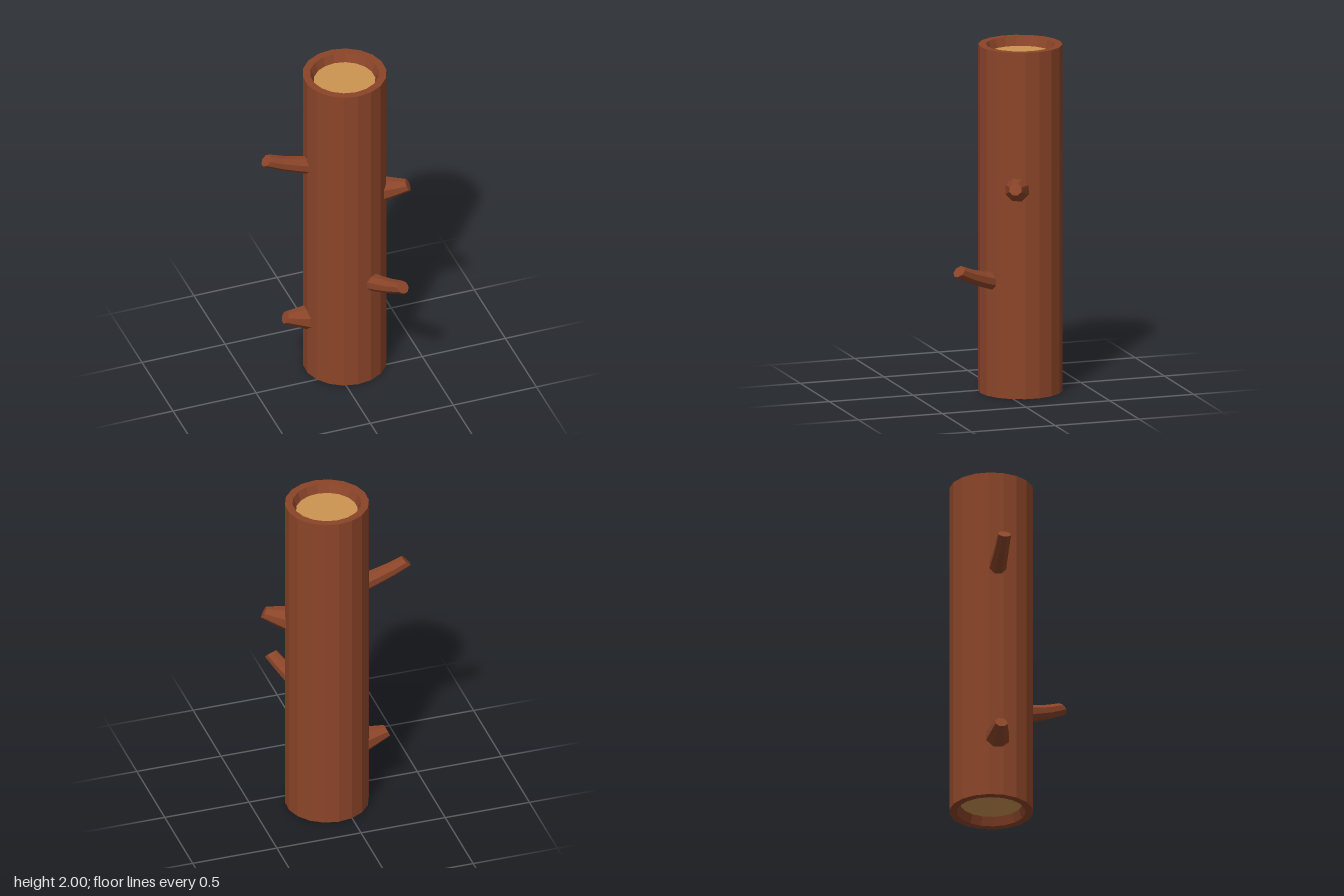
import * as THREE from 'three';

const SIDES = 18;
const bark = new THREE.MeshStandardMaterial({ color: 0x8b4529, flatShading: true });
const wood = new THREE.MeshStandardMaterial({ color: 0xcd9452, flatShading: true });

// Eight-sided limb growing along +x; each section is [out, up, tilt in degrees, radius]
function limbGeometry(sections, sides = 8) {
  const pos = [], index = [];
  for (const [out, up, tilt, r] of sections) {
    const t = THREE.MathUtils.degToRad(tilt);
    for (let j = 0; j < sides; j++) {
      const a = ((j + 0.5) / sides) * Math.PI * 2;
      const n = Math.cos(a) * r;
      pos.push(out - Math.sin(t) * n, up + Math.cos(t) * n, Math.sin(a) * r);
    }
  }
  for (let i = 0; i < sections.length - 1; i++) {
    for (let j = 0; j < sides; j++) {
      const k = (j + 1) % sides;
      const a = i * sides + j, b = i * sides + k;
      index.push(a, b, a + sides, b, b + sides, a + sides);
    }
  }
  // Cut end
  const last = (sections.length - 1) * sides;
  for (let j = 1; j < sides - 1; j++) index.push(last, last + j, last + j + 1);
  const g = new THREE.BufferGeometry();
  g.setAttribute('position', new THREE.Float32BufferAttribute(pos, 3));
  g.setIndex(index);
  const flat = g.toNonIndexed();
  flat.computeVertexNormals();
  return flat;
}

export function createModel() {
  const model = new THREE.Group();
  model.name = 'log';
  const log = new THREE.Group();
  log.name = 'logBody';
  log.position.set(0.075, 0, -0.114);
  model.add(log);

  const core = new THREE.Group();
  core.name = 'trunk';
  core.rotation.y = -0.035;
  log.add(core);

  // Bark shell with a bevelled recess at both ends
  const profile = [[0.175, 0.05], [0.195, 0], [0.238, 0], [0.238, 2], [0.195, 2], [0.175, 1.95]]
    .map(([x, y]) => new THREE.Vector2(x, y));
  const shell = new THREE.Mesh(new THREE.LatheGeometry(profile, SIDES), bark);
  shell.name = 'barkShell';
  core.add(shell);

  // Pale cut wood inside the recesses
  for (const [name, y, dir] of [['topCutWood', 1.95, -1], ['bottomCutWood', 0.05, 1]]) {
    const cut = new THREE.Mesh(new THREE.CircleGeometry(0.175, SIDES, Math.PI / 2), wood);
    cut.name = name;
    cut.position.y = y;
    cut.rotation.x = dir * Math.PI / 2;
    core.add(cut);
  }

  // Two long curved branches and two short stubs
  const branch = limbGeometry([
    [0.19, -0.014, 14, 0.054], [0.29, 0.015, 18, 0.047],
    [0.38, 0.046, 23, 0.042], [0.471, 0.086, 43, 0.039],
  ]);
  const stub = limbGeometry([
    [0.19, -0.01, 8, 0.078], [0.235, 0, 10, 0.069], [0.358, 0.027, 25, 0.037],
  ]);
  const limbs = [
    ['upperBranch', branch, 1.425, Math.PI],
    ['frontBranch', branch, 0.67, -1.157],
    ['sideStub', stub, 1.211, -0.414],
    ['lowerStub', stub, 0.366, Math.PI],
  ];
  for (const [name, geometry, y, angle] of limbs) {
    const limb = new THREE.Mesh(geometry, bark);
    limb.name = name;
    limb.position.y = y;
    limb.rotation.y = angle;
    log.add(limb);
  }
  return model;
}
